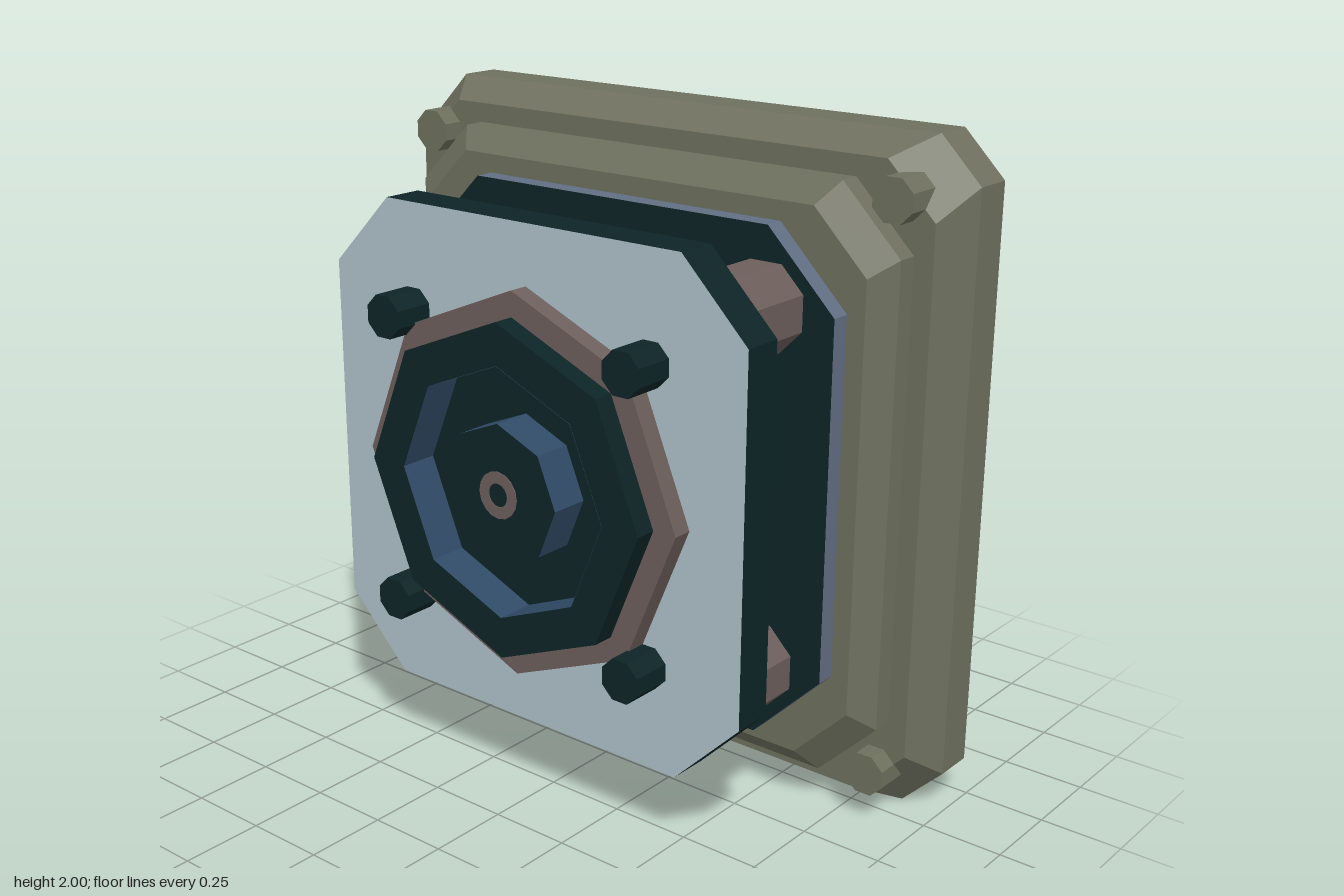
import * as THREE from 'three';

const mat = (name, color) => {
  const m = new THREE.MeshStandardMaterial({ color });
  m.name = name;
  m.flatShading = true;
  return m;
};

// Square outline with cut corners: h = half width, s = where the straight edge ends
const outline = ([h, s, z]) =>
  [[h, -s], [h, s], [s, h], [-s, h], [-h, s], [-h, -s], [-s, -h], [s, -h]]
    .map(([x, y]) => [x, y, z]);

// Solid through outlines listed back to front; groups 0 = sides, 1 = front, 2 = back
function cutPlate(sections) {
  const rings = sections.map(outline);
  const pos = [];
  const tri = (...pts) => pts.forEach((p) => pos.push(...p));
  for (let r = 0; r < rings.length - 1; r++) {
    for (let i = 0; i < 8; i++) {
      const j = (i + 1) % 8, a = rings[r], b = rings[r + 1];
      tri(a[i], a[j], b[j], a[i], b[j], b[i]);
    }
  }
  const sides = pos.length / 3;
  const front = rings[rings.length - 1], back = rings[0];
  for (let i = 1; i < 7; i++) tri(front[0], front[i], front[i + 1]);
  for (let i = 1; i < 7; i++) tri(back[0], back[i + 1], back[i]);
  const g = new THREE.BufferGeometry();
  g.setAttribute('position', new THREE.Float32BufferAttribute(pos, 3));
  g.addGroup(0, sides, 0);
  g.addGroup(sides, 18, 1);
  g.addGroup(sides + 18, 18, 2);
  g.computeVertexNormals();
  return g;
}

// Prism along z from z0 to z1; flat = true turns flat sides to the axes
function prism(r, z0, z1, flat = false, sides = 8) {
  const g = new THREE.CylinderGeometry(r, r, z1 - z0, sides);
  if (flat) g.rotateY(Math.PI / sides);
  return g.rotateX(Math.PI / 2).translate(0, 0, (z0 + z1) / 2);
}

// Polygon ring along z; extrude groups are 0 = caps, 1 = walls
function ring(outer, inner, z0, z1, sides = 8) {
  const poly = (r) => Array.from({ length: sides }, (_, i) => {
    const a = (i / sides) * Math.PI * 2;
    return new THREE.Vector2(Math.cos(a) * r, Math.sin(a) * r);
  });
  const shape = new THREE.Shape(poly(outer));
  shape.holes.push(new THREE.Path(poly(inner).reverse()));
  return new THREE.ExtrudeGeometry(shape, { depth: z1 - z0, bevelEnabled: false })
    .translate(0, 0, z0);
}

export function createModel() {
  const olive = mat('olive casing', 0x6e705e);
  const slate = mat('slate blue', 0x616e83);
  const dark = mat('dark green', 0x0d2426);
  const pale = mat('pale blue panel', 0xb0c2ca);
  const brown = mat('brown metal', 0x6c5e5b);
  const navy = mat('navy recess', 0x304a66);

  const root = new THREE.Group();
  const body = new THREE.Group();
  body.position.y = 1;
  root.add(body);
  const add = (name, geometry, material, x = 0, y = 0) => {
    const m = new THREE.Mesh(geometry, material);
    m.name = name;
    m.position.set(x, y, 0);
    body.add(m);
  };
  const corners = (name, d, geometry, material) => {
    for (const x of [-d, d]) for (const y of [-d, d]) add(name, geometry, material, x, y);
  };

  // Stepped casing and plates
  add('base', cutPlate([[1, 0.87, -0.47], [1, 0.87, -0.345], [0.94, 0.785, -0.22]]),
    [olive, olive, slate]);
  add('baseStep', cutPlate([[0.88, 0.69, -0.23], [0.88, 0.69, -0.155], [0.815, 0.64, -0.095]]), olive);
  add('middlePlate', cutPlate([[0.758, 0.535, -0.1], [0.758, 0.535, -0.035]]),
    [slate, dark, slate]);
  add('frontPlate', cutPlate([[0.752, 0.535, 0.22], [0.752, 0.535, 0.345]]),
    [dark, pale, slate]);

  // Corner studs, spacer columns and front bolts
  corners('cornerStud', 0.845, prism(0.067, -0.265, -0.155, true), olive);
  corners('spacerColumn', 0.532, prism(0.135, -0.04, 0.225, true), brown);
  corners('frontBolt', 0.438, prism(0.067, 0.34, 0.47, true), dark);

  // Central core and front collar
  add('core', prism(0.575, -0.04, 0.225), brown);
  add('collar', ring(0.575, 0.49, 0.34, 0.405), brown);

  // Dark rim with a recessed channel around the boss
  add('rim', ring(0.5, 0.376, 0.345, 0.47), dark);
  add('recessWall', new THREE.CylinderGeometry(0.375, 0.375, 0.122, 8, 1, true)
    .rotateX(Math.PI / 2).scale(-1, 1, 1).translate(0, 0, 0.409), inward(navy));
  add('recessFloor', prism(0.377, 0.342, 0.35), dark);
  add('boss', prism(0.21, 0.345, 0.47), [navy, dark, dark]);

  // Small hub ring on the boss
  add('hubRing', ring(0.07, 0.035, 0.466, 0.473, 16), brown);

  return root;
}

// Open walls show from both sides
function inward(material) {
  material.side = THREE.DoubleSide;
  return material;
}
